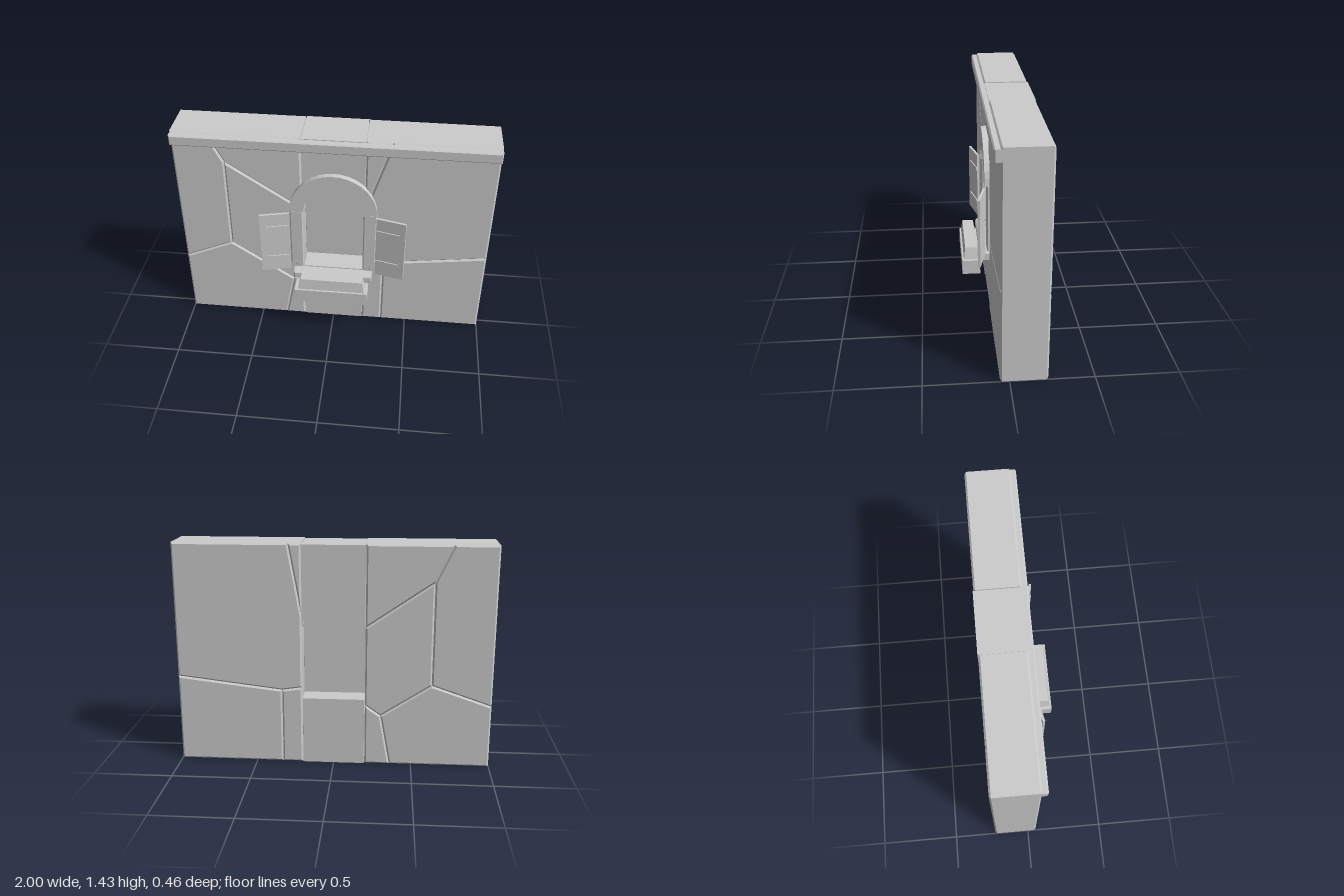
import * as THREE from 'three';

const stone = new THREE.MeshStandardMaterial({ color: 0xcccccc });
stone.name = 'grey stone';

// Shrinks a counter-clockwise outline by d, with mitred corners
function inset(pts, d) {
  return pts.map((p, i) => {
    const a = pts[(i + pts.length - 1) % pts.length], b = pts[(i + 1) % pts.length];
    const u = p.clone().sub(a).normalize(), v = b.clone().sub(p).normalize();
    const n = new THREE.Vector2(-u.y - v.y, u.x + v.x);
    return p.clone().addScaledVector(n, d / (1 + u.dot(v)));
  });
}

// Solid block between a front outline and a back outline, with bevelled rims
function block(front, back, zFront, zBack, bevel) {
  let f = front.map(p => new THREE.Vector2(...p)), b = back.map(p => new THREE.Vector2(...p));
  if (THREE.ShapeUtils.isClockWise(f)) { f.reverse(); b.reverse(); }
  const rings = [[inset(f, bevel), zFront], [f, zFront - bevel], [b, zBack + bevel], [inset(b, bevel), zBack]];
  const n = f.length, pos = [], idx = [];
  for (const [pts, z] of rings) for (const p of pts) pos.push(p.x, p.y, z);
  for (let r = 0; r < 3; r++) for (let i = 0; i < n; i++) {
    const j = (i + 1) % n, a = r * n + i, c = r * n + j;
    idx.push(a, a + n, c + n, a, c + n, c);
  }
  for (const [i, j, k] of THREE.ShapeUtils.triangulateShape(rings[0][0], [])) idx.push(i, j, k);
  for (const [i, j, k] of THREE.ShapeUtils.triangulateShape(rings[3][0], [])) idx.push(3 * n + k, 3 * n + j, 3 * n + i);
  const g = new THREE.BufferGeometry();
  g.setAttribute('position', new THREE.Float32BufferAttribute(pos, 3));
  g.setIndex(idx);
  const flat = g.toNonIndexed();
  flat.computeVertexNormals();
  return flat;
}

const rect = (x0, x1, y0, y1) => [[x0, y0], [x1, y0], [x1, y1], [x0, y1]];

function slab(x0, x1, y0, y1, z0, z1, bevel) {
  const r = rect(x0, x1, y0, y1);
  return block(r, r, z1, z0, bevel);
}

function extrude(shape, z0, z1) {
  const g = new THREE.ExtrudeGeometry(shape, { depth: z1 - z0, bevelEnabled: false, curveSegments: 9 });
  return g.translate(0, 0, z0);
}

export function createModel() {
  const model = new THREE.Group();
  const add = (name, geometry, parent = model) => {
    const m = new THREE.Mesh(geometry, stone);
    m.name = name;
    parent.add(m);
    return m;
  };
  const TOP = 1.43, FRONT = 0.055, BACK = -0.227;

  // Joint points shared by the stones: [front, back]
  const J = {
    tl: [[-1, TOP], [-1, TOP]], ml: [[-1, 0.46], [-1, 0.41]], bl: [[-1, 0], [-1, 0]],
    ta: [[-0.78, TOP], [-0.73, TOP]], a: [[-0.68, 1.23], [-0.62, 1.2]], b: [[-0.68, 0.6], [-0.62, 0.54]],
    c: [[-0.27, 0.32], [-0.3, 0.33]], bc: [[-0.33, 0], [-0.36, 0]],
    i1: [[-0.2, TOP], [-0.2, TOP]], i2: [[-0.2, 0.91], [-0.2, 0.91]], i3: [[-0.2, 0.36], [-0.2, 0.4]], i4: [[-0.2, 0], [-0.2, 0]],
    r1: [[0.2, TOP], [0.2, TOP]], r2: [[0.2, 0.95], [0.2, 0.98]], r3: [[0.2, 0.53], [0.2, 0.51]], r4: [[0.2, 0], [0.2, 0]],
    td: [[0.36, TOP], [0.28, TOP]], d: [[0.24, 1.05], [0.235, 1.18]],
    e: [[0.33, 0.51], [0.33, 0.49]], be: [[0.33, 0], [0.33, 0]],
    tr: [[1, TOP], [1, TOP]], mr: [[1, 0.6], [1, 0.57]], br: [[1, 0], [1, 0]],
  };
  const stones = ['tl ml b a ta', 'ta a i2 i1', 'a b c i3 i2', 'ml bl bc c b', 'c bc i4 i3',
    'r1 r2 d td', 'td d r2 r3 e mr tr', 'e be br mr', 'r3 r4 be e'];
  const wall = new THREE.Group();
  wall.name = 'wall';
  model.add(wall);
  stones.forEach((s, i) => {
    const keys = s.split(' ');
    add('wallStone' + (i + 1), block(keys.map(k => J[k][0]), keys.map(k => J[k][1]), FRONT, BACK, 0.011), wall);
  });

  // Middle column: arched lintel above, plain stone below the opening
  const R = 0.197, SPRING = 0.9;
  const lintel = new THREE.Shape();
  lintel.moveTo(R, SPRING);
  lintel.lineTo(R, 1.425);
  lintel.lineTo(-R, 1.425);
  lintel.lineTo(-R, SPRING);
  lintel.absarc(0, SPRING, R, Math.PI, 0, true);
  add('archLintel', extrude(lintel, BACK - 0.003, 0.05), wall);
  add('stoneBelowWindow', slab(-R, R, 0, 0.44, BACK - 0.003, 0.05, 0.001), wall);
  add('windowPane', slab(-0.2, 0.2, 0.43, 1.12, -0.1, -0.09, 0.001));

  // Moulding along the top of the front
  add('topMoulding', slab(-1, 1, 1.35, 1.42, 0.03, 0.09, 0.008));

  // Window surround
  const arch = new THREE.Shape();
  arch.absarc(0, 0.91, 0.28, 0, Math.PI, false);
  arch.absarc(0, 0.91, 0.19, Math.PI, 0, true);
  add('windowArch', extrude(arch, 0.04, 0.087));
  for (const s of [-1, 1]) {
    const side = s > 0 ? 'left' : 'right';
    const x = [s * 0.195, s * 0.28].sort((p, q) => p - q);
    add(side + 'Jamb', slab(x[0], x[1], 0.46, 0.905, 0.03, 0.073, 0.007));

    // Open shutter with two straps, turned about its hinge
    const shutter = new THREE.Group();
    shutter.name = side + 'Shutter';
    shutter.position.set(s * 0.28, 0.675, 0.09);
    shutter.rotation.y = -s * 0.24;
    model.add(shutter);
    add('shutterBoard', new THREE.BoxGeometry(0.193, 0.45, 0.016).translate(s * 0.0965, 0, 0), shutter);
    for (const y of [-0.115, 0.125])
      add('shutterStrap', new THREE.BoxGeometry(0.15, 0.022, 0.008).translate(s * 0.078, y, 0.011), shutter);
  }

  // Sill and flower box
  add('windowSill', slab(-0.26, 0.26, 0.388, 0.432, 0.03, 0.118, 0.008));
  add('flowerBox', slab(-0.24, 0.24, 0.28, 0.375, 0.115, 0.23, 0.001));
  const mound = new THREE.BoxGeometry(0.44, 0.08, 0.094).translate(0, 0.412, 0.172);
  const p = mound.attributes.position;
  for (let i = 0; i < p.count; i++) if (p.getY(i) > 0.412) {
    p.setX(i, p.getX(i) * 0.92);
    p.setZ(i, 0.172 + (p.getZ(i) - 0.172) * 0.78);
  }
  mound.computeVertexNormals();
  add('flowerBoxFilling', mound);

  return model;
}
